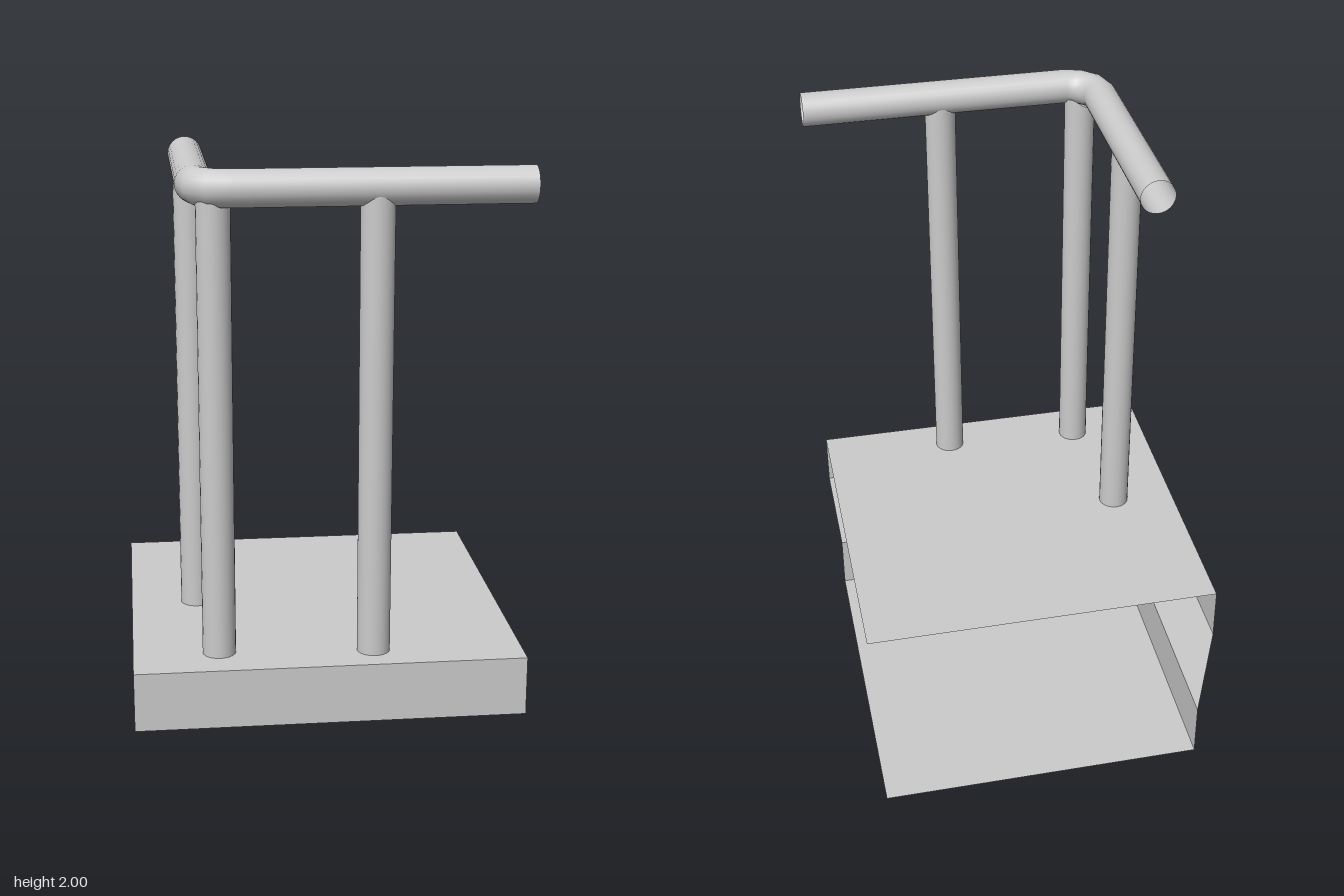
import * as THREE from 'three';

const grey = new THREE.MeshStandardMaterial({ color: 0xcccccc, side: THREE.DoubleSide });

const RAIL_Y = 1.94, RAIL_R = 0.06, POST_R = 0.055;
const RAIL_X = -0.415, RAIL_Z = 0.68, BEND = 0.11;
const END_X = 0.645, LEFT_X = -0.645, LOWER_X = -0.475;
const FRONT_Z = 0.805, UPPER_BACK = -0.44, LOWER_FRONT = 0.375, LOWER_BACK = -0.805;

function part(group, name, geometry) {
  const mesh = new THREE.Mesh(geometry, grey);
  mesh.name = name;
  group.add(mesh);
  return mesh;
}

// Horizontal sheet from [x, z] corners, facing up or down
function sheet(corners, y, up) {
  const s = up ? -1 : 1;
  const shape = new THREE.Shape(corners.map(([x, z]) => new THREE.Vector2(x, s * z)));
  return new THREE.ShapeGeometry(shape).rotateX(s * Math.PI / 2).translate(0, y, 0);
}

const rectangle = (x0, x1, z0, z1) => [[x0, z0], [x1, z0], [x1, z1], [x0, z1]];

// Upright panels 0.2 high, facing front or facing -x
const frontWall = (x0, x1, z, y) =>
  new THREE.PlaneGeometry(x1 - x0, 0.2).translate((x0 + x1) / 2, y + 0.1, z);
const sideWall = (z0, z1, x, y) =>
  new THREE.PlaneGeometry(z1 - z0, 0.2).rotateY(-Math.PI / 2).translate(x, y + 0.1, (z0 + z1) / 2);

// Post whose top edge is cut to sit against a round rail running at the given angle
function postGeometry(railAngle) {
  const bottom = 0.39, height = RAIL_Y - bottom;
  const geo = new THREE.CylinderGeometry(POST_R, POST_R, height, 24, 1, true);
  geo.translate(0, bottom + height / 2, 0);
  const p = geo.attributes.position;
  for (let i = 0; i < p.count; i++) {
    if (p.getY(i) < 1) continue;
    const d = p.getZ(i) * Math.cos(railAngle) - p.getX(i) * Math.sin(railAngle);
    p.setY(i, RAIL_Y - Math.sqrt(RAIL_R ** 2 - d * d));
  }
  return geo;
}

export function createModel() {
  const model = new THREE.Group();
  model.name = 'stepsWithHandrail';

  // Folded shell of two steps, open at the back and at +x
  const steps = new THREE.Group();
  steps.name = 'steps';
  model.add(steps);
  part(steps, 'upperTread', sheet(rectangle(LEFT_X, END_X, UPPER_BACK, FRONT_Z), 0.4, true));
  part(steps, 'upperFront', frontWall(LEFT_X, END_X, FRONT_Z, 0.2));
  part(steps, 'upperSide', sideWall(UPPER_BACK, FRONT_Z, LEFT_X, 0.2));
  part(steps, 'upperUnderside', sheet([
    [LEFT_X, FRONT_Z], [END_X, FRONT_Z], [END_X, LOWER_FRONT],
    [LOWER_X, LOWER_FRONT], [LOWER_X, LOWER_BACK], [LEFT_X, UPPER_BACK],
  ], 0.2, false));
  part(steps, 'lowerFront', frontWall(LOWER_X, END_X, LOWER_FRONT, 0));
  part(steps, 'lowerSide', sideWall(LOWER_BACK, LOWER_FRONT, LOWER_X, 0));
  part(steps, 'lowerBase', sheet(rectangle(LOWER_X, END_X, LOWER_BACK, LOWER_FRONT), 0, false));

  // Handrail: two open tubes joined by a three-segment bend
  const rail = new THREE.Group();
  rail.name = 'handrail';
  model.add(rail);
  const bendX = RAIL_X + BEND, bendZ = RAIL_Z - BEND, backZ = -0.205;
  const tube = (length) => new THREE.CylinderGeometry(RAIL_R, RAIL_R, length, 24, 1, true);
  part(rail, 'frontRail', tube(END_X - bendX).rotateZ(Math.PI / 2))
    .position.set((END_X + bendX) / 2, RAIL_Y, RAIL_Z);
  part(rail, 'sideRail', tube(bendZ - backZ).rotateX(Math.PI / 2))
    .position.set(RAIL_X, RAIL_Y, (bendZ + backZ) / 2);
  part(rail, 'railBend', new THREE.TorusGeometry(BEND, RAIL_R, 24, 3, Math.PI / 2)
    .rotateZ(Math.PI / 2).rotateX(Math.PI / 2))
    .position.set(bendX, RAIL_Y, bendZ);

  // Posts: name, x, z, direction of the rail above
  const posts = [
    ['frontPost', 0.15, RAIL_Z, 0],
    ['cornerPost', -0.36, 0.65, Math.PI / 4],
    ['sidePost', RAIL_X, 0.185, Math.PI / 2],
  ];
  for (const [name, x, z, angle] of posts) {
    part(model, name, postGeometry(angle)).position.set(x, 0, z);
  }
  return model;
}
